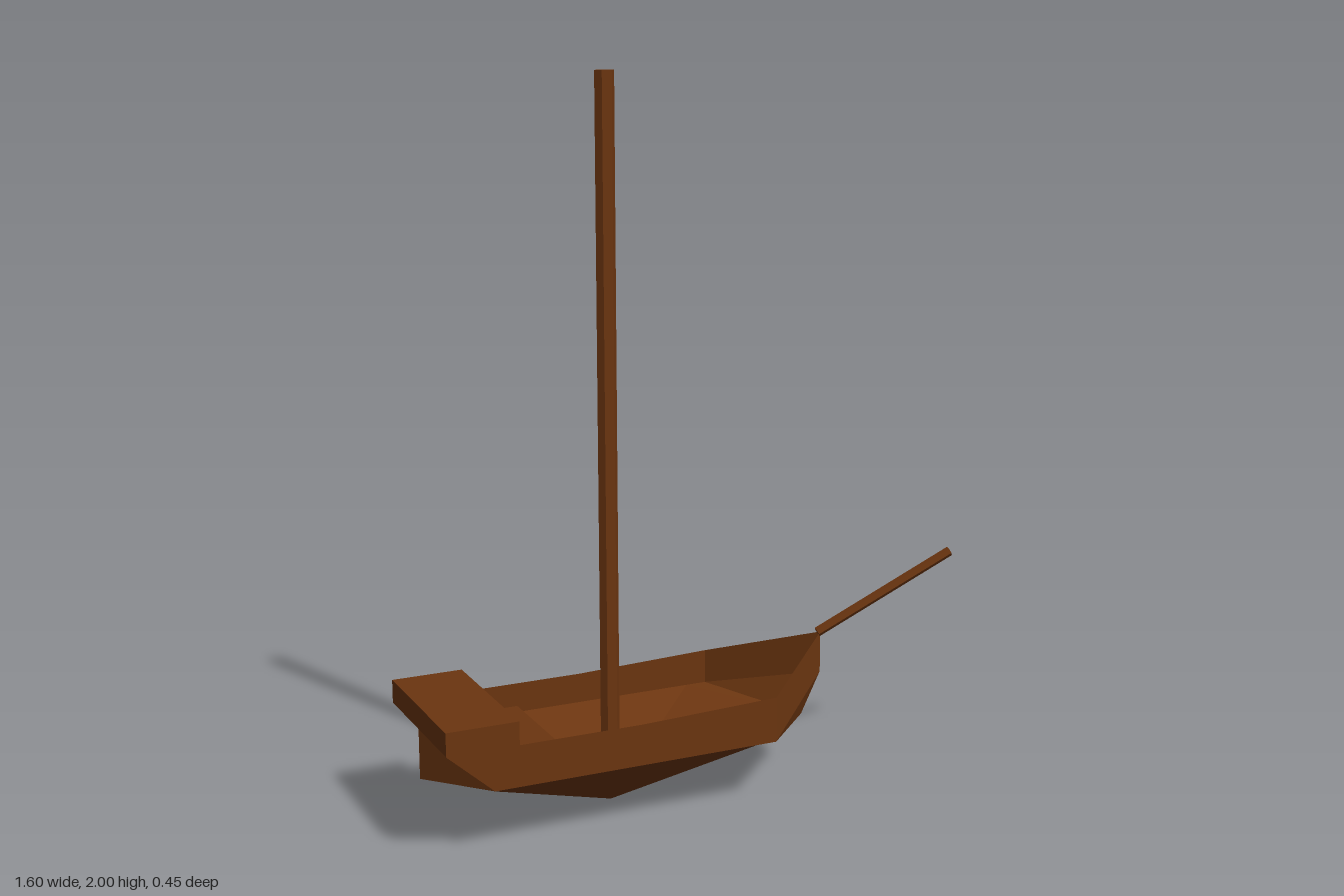
import * as THREE from 'three';

const wood = new THREE.MeshStandardMaterial({ color: 0x6b3510, flatShading: true, side: THREE.DoubleSide });

function add(group, name, geometry) {
  const mesh = new THREE.Mesh(geometry, wood);
  mesh.name = name;
  group.add(mesh);
  return mesh;
}

// Thin planked half of the hull; side is +1 or -1, chine is the height of the side's lower edge
function hullHalf(side, chine) {
  const z = 0.225 * side;
  const p = {
    // rim
    rimStern: [-0.8, 0.295, z], rimMid: [-0.25, 0.295, z], rimBow: [0.15, 0.308, z],
    // lower edge of the side wall
    lowStern: [-0.67, chine, z], lowMid: [-0.25, chine, z], lowFore: [0.09, chine, z], lowBow: [0.15, chine, z],
    // centre line
    stemTop: [0.41, 0.395, 0], stemMid: [0.41, 0.275, 0], stemFoot: [0.35, 0.155, 0],
    keel: [-0.25, 0, 0], keelStern: [-0.72, 0.155, 0], sternFoot: [-0.8, 0.155, 0], sternTop: [-0.8, 0.295, 0],
  };
  const panels = [
    'rimStern lowStern lowMid rimMid', 'rimMid lowMid lowFore rimBow', 'rimBow lowFore lowBow',
    'rimBow lowBow stemMid stemTop', 'lowBow stemFoot stemMid', 'lowBow lowFore stemFoot',
    'lowFore keel stemFoot', 'lowMid keel lowFore', 'lowStern keelStern keel lowMid',
    'lowStern sternFoot keelStern', 'lowStern sternTop sternFoot', 'lowStern rimStern sternTop',
  ];
  const v = [];
  for (const panel of panels) {
    const c = panel.split(' ').map((n) => p[n]);
    for (let i = 1; i < c.length - 1; i++) {
      const tri = side > 0 ? [c[0], c[i], c[i + 1]] : [c[0], c[i + 1], c[i]];
      v.push(...tri.flat());
    }
  }
  const g = new THREE.BufferGeometry();
  g.setAttribute('position', new THREE.Float32BufferAttribute(v, 3));
  g.computeVertexNormals();
  return g;
}

export function createModel() {
  const boat = new THREE.Group();
  boat.name = 'sailboat';

  // Hull, with the far side's lower edge slightly higher
  add(boat, 'hullLeft', hullHalf(1, 0.18));
  add(boat, 'hullRight', hullHalf(-1, 0.21));

  // Raised stern deck
  add(boat, 'sternDeck', new THREE.BoxGeometry(0.2, 0.065, 0.45)).position.set(-0.7, 0.3275, 0);

  // Rowing bench
  add(boat, 'bench', new THREE.BoxGeometry(0.12, 0.02, 0.44)).position.set(-0.5, 0.22, 0);

  // Six-sided mast, flattened across the boat
  const mast = add(boat, 'mast', new THREE.CylinderGeometry(0.028, 0.028, 1.98, 6).rotateY(Math.PI / 2));
  mast.scale.z = 0.7;
  mast.position.set(-0.25, 1.01, 0);

  // Bowsprit, leaning a little to one side
  const from = new THREE.Vector3(0.4, 0.395, 0);
  const to = new THREE.Vector3(0.79, 0.61, 0.08);
  const dir = to.clone().sub(from);
  const sprit = add(boat, 'bowsprit', new THREE.CylinderGeometry(0.014, 0.014, dir.length(), 6));
  sprit.position.copy(from).add(to).multiplyScalar(0.5);
  sprit.quaternion.setFromUnitVectors(new THREE.Vector3(0, 1, 0), dir.normalize());

  return boat;
}
